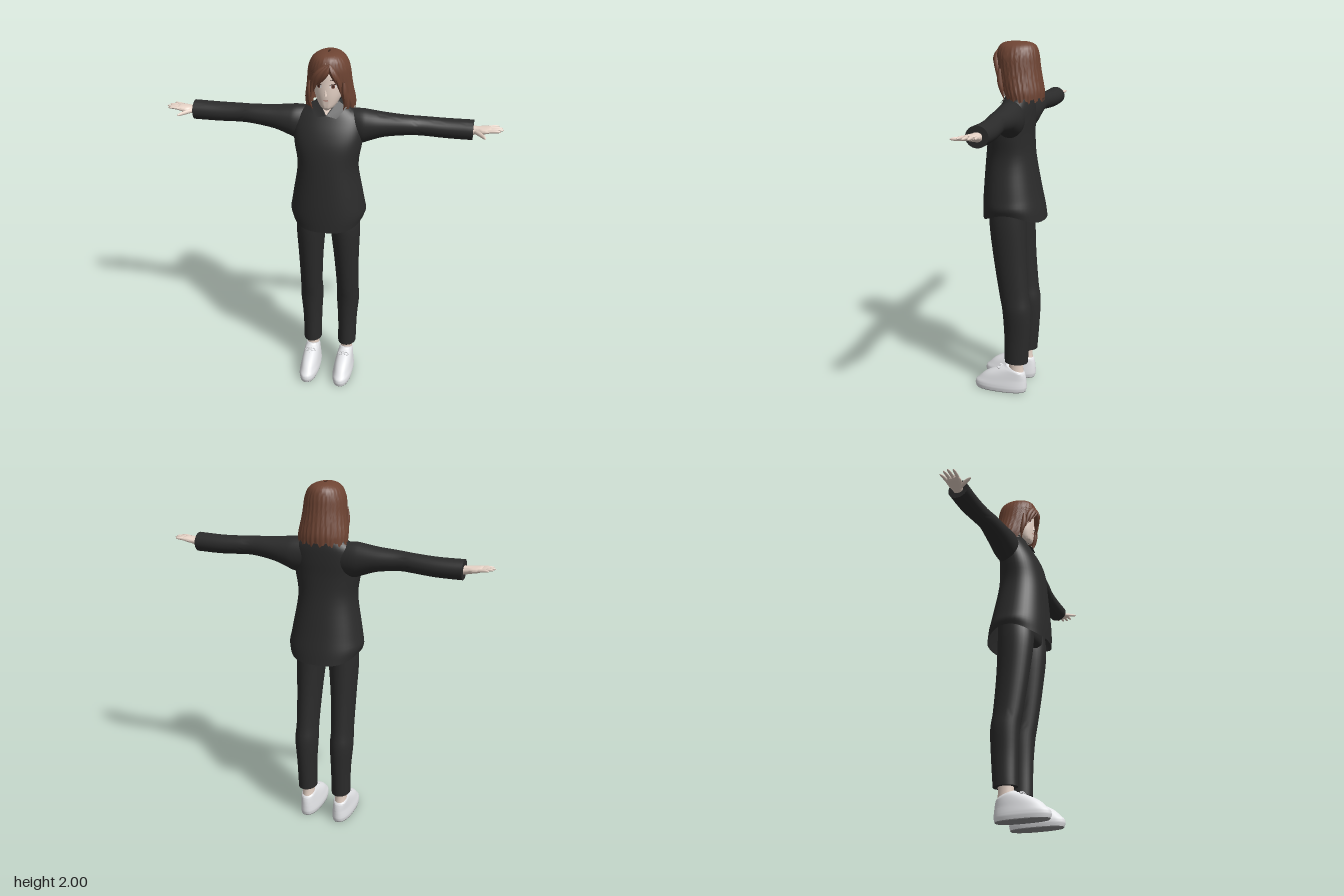
import * as THREE from 'three';
import { toCreasedNormals } from 'three/addons/utils/BufferGeometryUtils.js';

const paint = (name, color, side = THREE.FrontSide) => {
  const m = new THREE.MeshStandardMaterial({ color, side });
  m.name = name;
  return m;
};
const V = (x, y, z) => new THREE.Vector3(x, y, z);

// Smooth loft through ascending sections [y, centreX, radiusX, zFront, zBack, frontGap]
function loft(sections, { segs = 32, steps = 4, power = 2, caps = true, tweak } = {}) {
  const a = new THREE.CatmullRomCurve3(sections.map(s => V(s[0], s[1], s[2])));
  const b = new THREE.CatmullRomCurve3(sections.map(s => V(s[3], s[4], s[5] || 0)));
  a.curveType = b.curveType = 'catmullrom';
  const rows = (sections.length - 1) * steps, pos = [], idx = [], n = segs + 1;
  const bend = v => Math.sign(v) * Math.abs(v) ** (2 / power);
  for (let i = 0; i <= rows; i++) {
    const p = a.getPoint(i / rows), q = b.getPoint(i / rows), gap = Math.max(0, q.z);
    for (let j = 0; j <= segs; j++) {
      const t = Math.PI / 2 + gap + (j / segs) * (2 * Math.PI - 2 * gap);
      const v = V(p.y + p.z * bend(Math.cos(t)), p.x, (q.x + q.y) / 2 + (q.x - q.y) / 2 * bend(Math.sin(t)));
      if (tweak) tweak(v, t);
      pos.push(v.x, v.y, v.z);
      if (i < rows && j < segs) {
        const k = i * n + j;
        idx.push(k, k + n, k + 1, k + 1, k + n, k + n + 1);
      }
    }
  }
  if (caps) for (const row of [0, rows]) {
    const c = V(0, 0, 0), at = row * n, mid = pos.length / 3;
    for (let j = 0; j < segs; j++) c.add(V(...pos.slice((at + j) * 3, (at + j) * 3 + 3)));
    c.divideScalar(segs);
    pos.push(c.x, c.y, c.z);
    for (let j = 0; j < segs; j++) idx.push(mid, at + j + (row ? 1 : 0), at + j + (row ? 0 : 1));
  }
  const g = new THREE.BufferGeometry();
  g.setAttribute('position', new THREE.Float32BufferAttribute(pos, 3));
  g.setIndex(idx);
  return toCreasedNormals(g, 0.9);
}

// Tube along points whose radius follows a profile of 0..1
function strand(points, r, profile = () => 1, rings = 12) {
  const curve = new THREE.CatmullRomCurve3(points.map(p => V(...p)));
  const g = new THREE.TubeGeometry(curve, rings, r, 8), p = g.attributes.position, v = V(0, 0, 0);
  for (let i = 0; i < p.count; i++) {
    const t = Math.floor(i / 9) / rings, c = curve.getPointAt(t);
    v.fromBufferAttribute(p, i).sub(c).multiplyScalar(profile(t)).add(c);
    p.setXYZ(i, v.x, v.y, v.z);
  }
  g.computeVertexNormals();
  return g;
}
const lockShape = t => Math.max(0.02, Math.sin(Math.PI * (0.15 + 0.85 * t)));
const fingerShape = t => (t > 0.99 ? 0.02 : Math.sqrt(1 - t ** 5) * (1 - 0.25 * t));

export function createModel() {
  const cloth = paint('black cloth', 0x2b2b2b, THREE.DoubleSide);
  const hairMat = paint('brown hair', 0x6e4433, THREE.DoubleSide);
  const skin = paint('skin', 0xf0dccf, THREE.DoubleSide);
  const shoeMat = paint('white shoe', 0xe4e5e8);
  const soleMat = paint('grey sole', 0x8c8c8e);
  const white = paint('eye white', 0xf4f0ee);
  const dark = paint('dark brown', 0x3a2723);
  const iris = paint('iris brown', 0x7a4a3a);
  const lip = paint('lip', 0xb5786c);

  const model = new THREE.Group();
  const add = (parent, name, geo, mat) => {
    const m = new THREE.Mesh(geo, mat);
    m.name = name;
    parent.add(m);
    return m;
  };

  // Jacket body, with the hem rising at both sides
  add(model, 'jacket', loft([
    [1.03, 0, 0.2, 0.16, -0.19], [1.1, 0, 0.21, 0.16, -0.178], [1.2, 0, 0.195, 0.156, -0.157],
    [1.38, 0, 0.166, 0.143, -0.125], [1.5, 0, 0.182, 0.127, -0.115], [1.58, 0, 0.19, 0.1, -0.115],
    [1.65, 0, 0.178, 0.063, -0.112], [1.69, 0, 0.135, 0.04, -0.105], [1.715, 0, 0.088, 0.028, -0.1],
    [1.73, 0, 0.065, 0.02, -0.09]], {
    segs: 48, power: 2.2, caps: false,
    tweak: (v, t) => { v.y += 0.05 * Math.max(0, (1.14 - v.y) / 0.11) * Math.cos(t) ** 4; },
  }), cloth);
  add(model, 'hips', loft([[1.02, 0, 0.13, 0.08, -0.09], [1.06, 0, 0.17, 0.105, -0.105],
    [1.2, 0, 0.165, 0.1, -0.105]]), cloth);

  // Collar: open neck triangle and two folded flaps
  const flat = (pts, faces) => {
    const g = new THREE.BufferGeometry();
    g.setAttribute('position', new THREE.Float32BufferAttribute(pts.flat(), 3));
    g.setIndex(faces);
    g.computeVertexNormals();
    return g;
  };
  add(model, 'openNeck', flat([[0, 1.675, 0.059], [0.04, 1.735, 0.025], [-0.04, 1.735, 0.025]], [0, 1, 2]), skin);
  for (const s of [1, -1]) add(model, 'collarFlap', flat([[s * 0.003, 1.675, 0.064], [s * 0.055, 1.663, 0.064],
    [s * 0.1, 1.712, 0.01], [s * 0.056, 1.742, 0.005]], s > 0 ? [0, 1, 2, 0, 2, 3] : [0, 2, 1, 0, 3, 2]), cloth);
  add(model, 'collarBack', loft([[1.69, 0, 0.1, 0.02, -0.11, 0.9], [1.745, 0, 0.062, 0.02, -0.09, 0.9]],
    { caps: false }), cloth);

  // Limbs of one side, mirrored for the other
  for (const s of [1, -1]) {
    const side = new THREE.Group();
    side.name = s > 0 ? 'leftLimbs' : 'rightLimbs';
    side.scale.x = s;
    model.add(side);

    // Sleeve and hand, lofted upward and then laid along x
    add(side, 'sleeve', loft([
      [0.08, -1.6, 0.09, 0.02, -0.095], [0.17, -1.601, 0.095, 0.045, -0.105], [0.22, -1.607, 0.084, 0.045, -0.105],
      [0.3, -1.616, 0.065, 0.035, -0.1], [0.42, -1.621, 0.053, 0.02, -0.09], [0.5, -1.619, 0.051, 0.008, -0.098],
      [0.62, -1.614, 0.052, 0.005, -0.108], [0.76, -1.615, 0.053, 0.006, -0.108]]).rotateZ(-Math.PI / 2), cloth);
    add(side, 'palm', loft([
      [0.74, -1.612, 0.026, -0.022, -0.078], [0.775, -1.615, 0.021, -0.02, -0.078], [0.81, -1.62, 0.017, -0.004, -0.086],
      [0.84, -1.624, 0.014, -0.004, -0.086], [0.853, -1.626, 0.009, -0.008, -0.083]],
    { segs: 20, power: 2.3 }).rotateZ(-Math.PI / 2), skin);
    [[-0.078, -0.09, 0.893], [-0.057, -0.062, 0.912], [-0.036, -0.036, 0.918], [-0.014, -0.008, 0.905]].forEach(([z0, z1, x]) =>
      add(side, 'finger', strand([[0.835, 1.625, z0], [0.87, 1.629, (z0 + z1) / 2], [x, 1.63, z1]], 0.0098, fingerShape), skin));
    add(side, 'thumb', strand([[0.775, 1.613, -0.03], [0.8, 1.612, 0.005], [0.815, 1.612, 0.03], [0.828, 1.612, 0.058]],
      0.0125, fingerShape), skin);

    // Trouser leg and ankle
    add(side, 'trouserLeg', loft([
      [0.185, 0.106, 0.053, 0.018, -0.118], [0.35, 0.107, 0.056, 0.02, -0.13], [0.5, 0.109, 0.066, 0.03, -0.135],
      [0.6, 0.108, 0.063, 0.048, -0.122], [0.8, 0.104, 0.07, 0.08, -0.107], [1.0, 0.098, 0.083, 0.105, -0.102],
      [1.12, 0.09, 0.085, 0.1, -0.105]]), cloth);
    add(side, 'ankle', loft([[0.08, 0.104, 0.038, 0.0, -0.1], [0.15, 0.104, 0.035, -0.005, -0.09],
      [0.25, 0.105, 0.038, -0.005, -0.095]], { segs: 20 }), skin);

    // Shoe: sole plate, upper rising at the tongue, laces
    add(side, 'sole', loft([[0, 0.102, 0.053, 0.19, -0.105], [0.004, 0.102, 0.054, 0.194, -0.107]],
      { steps: 1, power: 2.4 }), soleMat);
    add(side, 'shoe', loft([
      [0.004, 0.102, 0.054, 0.194, -0.107], [0.025, 0.102, 0.058, 0.2, -0.112], [0.05, 0.102, 0.056, 0.192, -0.111],
      [0.075, 0.102, 0.051, 0.15, -0.109], [0.1, 0.103, 0.046, 0.085, -0.106], [0.125, 0.104, 0.041, 0.025, -0.1],
      [0.135, 0.104, 0.036, 0.01, -0.092]], {
      power: 2.3,
      tweak: v => { v.y += Math.max(0, (v.y - 0.06) / 0.075) * (v.z + 0.06) * 0.35; },
    }), shoeMat);
    [[0.113, 0.1], [0.13, 0.07], [0.146, 0.04]].forEach(([y, z]) => add(side, 'lace', strand(
      [[0.072, y - 0.012, z - 0.012], [0.103, y, z], [0.134, y - 0.012, z - 0.012]], 0.0045), shoeMat));
    for (const k of [1, -1]) {
      const bow = add(side, 'laceBow', new THREE.TorusGeometry(0.013, 0.0035, 6, 14), shoeMat);
      bow.position.set(0.103 + k * 0.018, 0.143, 0.05);
      bow.rotation.set(-0.8, k * 0.4, 0);
      bow.scale.y = 0.6;
    }
  }

  // Head and neck
  add(model, 'neck', loft([[1.66, 0, 0.048, 0.02, -0.085], [1.72, 0, 0.04, 0.01, -0.08],
    [1.79, 0, 0.042, 0.01, -0.085]], { segs: 24 }), skin);
  const head = add(model, 'head', loft([
    [1.705, 0, 0.012, 0.058, 0.025], [1.718, 0, 0.034, 0.066, -0.01], [1.745, 0, 0.056, 0.07, -0.06],
    [1.79, 0, 0.076, 0.074, -0.105], [1.85, 0, 0.087, 0.073, -0.125], [1.91, 0, 0.084, 0.068, -0.12],
    [1.965, 0, 0.05, 0.03, -0.085]], { segs: 40 }), skin);
  const nose = add(model, 'nose', new THREE.ConeGeometry(0.009, 0.04, 8), skin);
  nose.position.set(0, 1.808, 0.073);
  nose.scale.z = 1.2;

  // Painted face details, wrapped onto the head
  const ray = new THREE.Raycaster();
  const onFace = (name, x, y, rx, ry, tilt, lift, mat) => {
    const g = new THREE.CircleGeometry(1, 20).scale(rx, ry, 1).rotateZ(tilt).translate(x, y, 0);
    const p = g.attributes.position;
    for (let i = 0; i < p.count; i++) {
      ray.set(V(p.getX(i), p.getY(i), 1), V(0, 0, -1));
      const hit = ray.intersectObject(head)[0];
      p.setZ(i, (hit ? hit.point.z : 0.06) + lift);
    }
    g.computeVertexNormals();
    add(model, name, g, mat);
  };
  for (const s of [1, -1]) {
    onFace('eyeWhite', s * 0.039, 1.838, 0.019, 0.0105, s * 0.08, 0.002, white);
    onFace('iris', s * 0.038, 1.838, 0.0095, 0.0105, 0, 0.003, iris);
    onFace('pupil', s * 0.038, 1.838, 0.0045, 0.006, 0, 0.004, dark);
    onFace('upperLash', s * 0.04, 1.849, 0.021, 0.0028, s * 0.08, 0.005, dark);
    onFace('eyebrow', s * 0.041, 1.872, 0.021, 0.0025, s * 0.1, 0.003, dark);
  }
  onFace('mouth', 0, 1.762, 0.016, 0.0025, 0, 0.002, lip);

  // Bobbed hair shell with an open front, ridges and a ragged hem
  add(model, 'hair', loft([
    [1.695, 0, 0.133, 0.035, -0.168, 0.85], [1.74, 0, 0.134, 0.055, -0.17, 0.74], [1.8, 0, 0.124, 0.072, -0.16, 0.68],
    [1.85, 0, 0.117, 0.082, -0.151, 0.58], [1.89, 0, 0.113, 0.087, -0.146, 0.36], [1.925, 0, 0.107, 0.088, -0.142, 0.08],
    [1.965, 0, 0.09, 0.079, -0.132, 0], [1.987, 0, 0.065, 0.06, -0.112, 0], [1.997, 0, 0.035, 0.03, -0.08, 0],
    [1.999, 0, 0.006, 0, -0.045, 0]], {
    segs: 120, steps: 3, caps: false,
    tweak: (v, t) => {
      const ridge = 1 + 0.016 * Math.sin(30 * t) * Math.min(1, (2 - v.y) / 0.06);
      v.x *= ridge;
      v.z = (v.z + 0.04) * ridge - 0.04;
      if (v.y < 1.75) v.y += (0.01 * Math.sin(15 * t) + 0.005 * Math.sin(37 * t)) * (1.75 - v.y) / 0.055;
    },
  }), hairMat);

  // Fringe swept to both sides of the parting, and locks framing the cheeks
  [
    [[0.02, 1.955, 0.075], [-0.02, 1.91, 0.088], [-0.05, 1.86, 0.082], [-0.068, 1.8, 0.068]],
    [[0.01, 1.955, 0.075], [-0.035, 1.915, 0.083], [-0.068, 1.86, 0.07], [-0.082, 1.77, 0.056]],
    [[0.025, 1.955, 0.075], [0.005, 1.915, 0.089], [-0.018, 1.88, 0.088], [-0.04, 1.845, 0.084]],
    [[0.02, 1.955, 0.075], [0.045, 1.91, 0.082], [0.066, 1.86, 0.07], [0.08, 1.79, 0.06]],
    [[0.02, 1.955, 0.075], [0.035, 1.92, 0.086], [0.052, 1.88, 0.08], [0.066, 1.84, 0.07]],
    [[-0.09, 1.86, 0.05], [-0.093, 1.8, 0.048], [-0.093, 1.74, 0.035], [-0.08, 1.695, 0.028]],
    [[0.09, 1.86, 0.05], [0.093, 1.8, 0.048], [0.095, 1.74, 0.035], [0.084, 1.7, 0.028]],
  ].forEach(path => add(model, 'hairLock', strand(path, 0.015, lockShape, 16), hairMat));

  return model;
}
